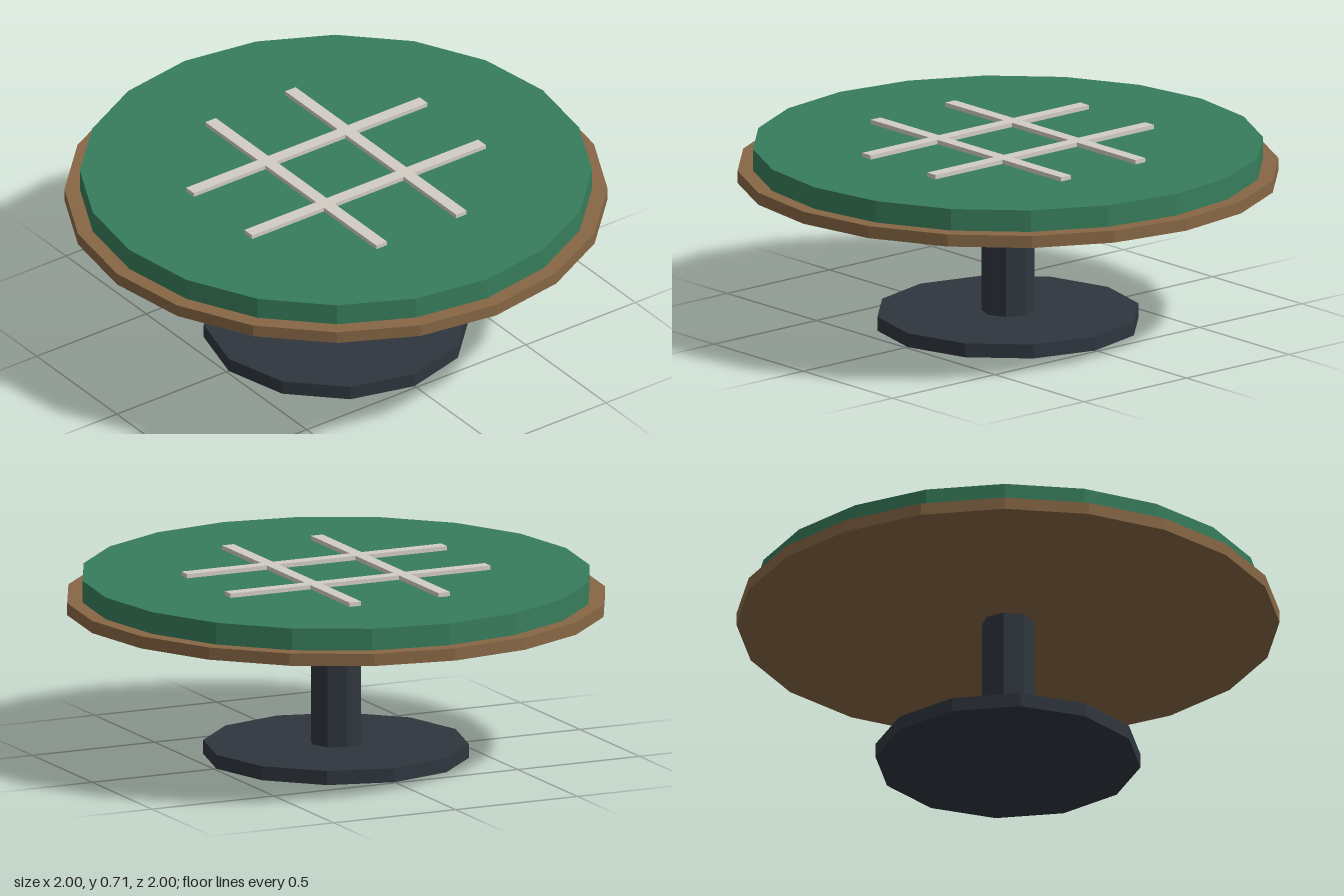
import * as THREE from 'three';

const material = (name, color) => {
  const m = new THREE.MeshStandardMaterial({ color, flatShading: true });
  m.name = name;
  return m;
};

export function createModel() {
  const group = new THREE.Group();
  group.name = 'gameTable';

  const metal = material('dark metal', 0x2f363e);
  const wood = material('brown wood', 0x876745);
  const felt = material('green felt', 0x387d5c);
  const ivory = material('pale grey', 0xd3cdc4);

  // Upright faceted disc from y0 to y1
  const disc = (name, radius, y0, y1, sides, mat) => {
    const mesh = new THREE.Mesh(new THREE.CylinderGeometry(radius, radius, y1 - y0, sides), mat);
    mesh.name = name;
    mesh.position.y = (y0 + y1) / 2;
    group.add(mesh);
  };

  disc('base', 0.49, 0, 0.053, 12, metal);
  disc('column', 0.098, 0.053, 0.563, 8, metal);
  disc('tableRim', 1, 0.563, 0.609, 20, wood);
  disc('tableTop', 0.943, 0.609, 0.691, 20, felt);

  // Raised grid: two bars each way
  const bar = (name, w, d, x, z) => {
    const mesh = new THREE.Mesh(new THREE.BoxGeometry(w, 0.016, d), ivory);
    mesh.name = name;
    mesh.position.set(x, 0.699, z);
    group.add(mesh);
  };
  for (const s of [-1, 1]) {
    bar('lengthwiseBar', 0.048, 1.066, s * 0.182, 0);
    bar('crosswiseBar', 1.066, 0.048, 0, s * 0.182);
  }

  return group;
}
